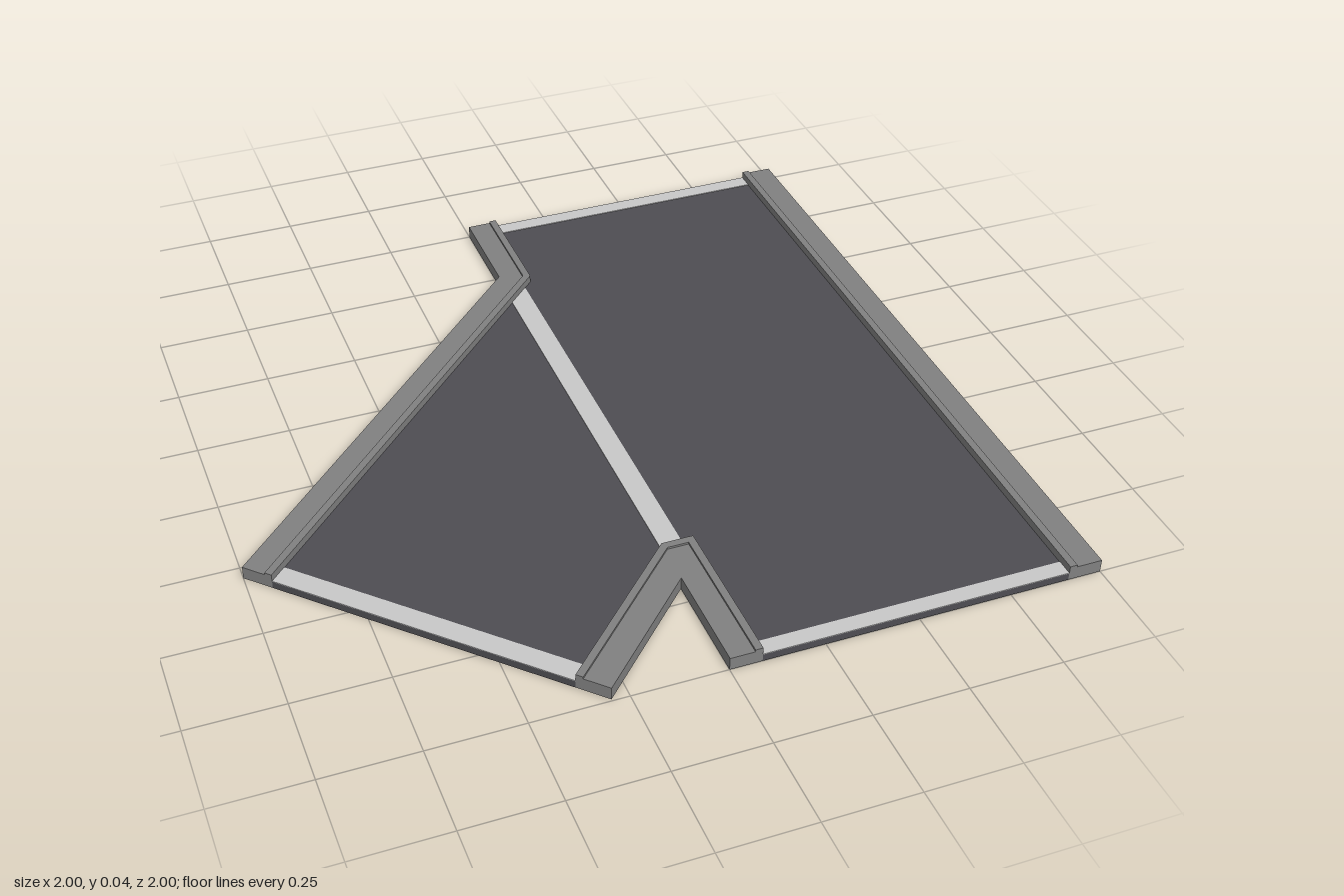
import * as THREE from 'three';

const mat = (name, color) => {
  const m = new THREE.MeshStandardMaterial({ color });
  m.name = name;
  return m;
};

// Flat slab from an outline of [x, z] points, between two heights
function slab(name, outline, y0, y1, material) {
  const shape = new THREE.Shape(outline.map(([x, z]) => new THREE.Vector2(x, -z)));
  const geo = new THREE.ExtrudeGeometry(shape, { depth: y1 - y0, bevelEnabled: false });
  geo.rotateX(-Math.PI / 2).translate(0, y0, 0);
  const mesh = new THREE.Mesh(geo, material);
  mesh.name = name;
  return mesh;
}

export function createModel() {
  const asphalt = mat('asphalt', 0x4e4d52);
  const concrete = mat('concrete', 0x808080);
  const paint = mat('whitePaint', 0xc8c8c8);
  const ROAD = 0.02, PAVING = 0.036, LIP = 0.042;
  const model = new THREE.Group();
  model.name = 'roadJunction';

  // Each edging: outer line, line between paving and lip, and inner line beside the road
  const edgings = {
    mainEdging: {
      outer: [[1, -1], [1, 1]],
      middle: [[0.93, -1], [0.93, 1]],
      inner: [[0.91, -1], [0.91, 1]],
    },
    backEdging: {
      outer: [[0, -1], [0, -0.71], [-1, 0.29]],
      middle: [[0.065, -1], [0.065, -0.683], [-0.954, 0.336]],
      inner: [[0.085, -1], [0.085, -0.675], [-0.94, 0.35]],
    },
    frontEdging: {
      outer: [[-0.295, 0.995], [0, 0.7], [0, 1]],
      middle: [[-0.346, 0.944], [0.008, 0.59], [0.065, 0.59], [0.065, 1]],
      inner: [[-0.36, 0.93], [0, 0.57], [0.085, 0.57], [0.085, 1]],
    },
  };
  const between = (a, b) => [...a, ...[...b].reverse()];
  for (const [name, e] of Object.entries(edgings)) {
    const group = new THREE.Group();
    group.name = name;
    group.add(
      slab('paving', between(e.outer, e.middle), 0, PAVING, concrete),
      slab('kerbLip', between(e.middle, e.inner), 0, LIP, concrete),
    );
    model.add(group);
  }

  // Road surface fills the space between the inner lines
  const { mainEdging, backEdging, frontEdging } = edgings;
  model.add(slab('road',
    [...backEdging.inner, ...frontEdging.inner, ...[...mainEdging.inner].reverse()],
    0, ROAD, asphalt));

  // Painted lines at the three road ends and across the branch mouth
  const lines = {
    backLine: [[0.085, -1], [0.91, -1], [0.91, -0.955], [0.085, -0.955]],
    frontLine: [[0.085, 0.955], [0.91, 0.955], [0.91, 1], [0.085, 1]],
    branchLine: [[-0.94, 0.35], [-0.36, 0.93], [-0.32, 0.89], [-0.9, 0.31]],
    mouthLine: [[0, -0.59], [0.06, -0.65], [0.06, 0.57], [0, 0.57]],
  };
  for (const [name, outline] of Object.entries(lines)) {
    model.add(slab(name, outline, ROAD, ROAD + 0.002, paint));
  }
  return model;
}
